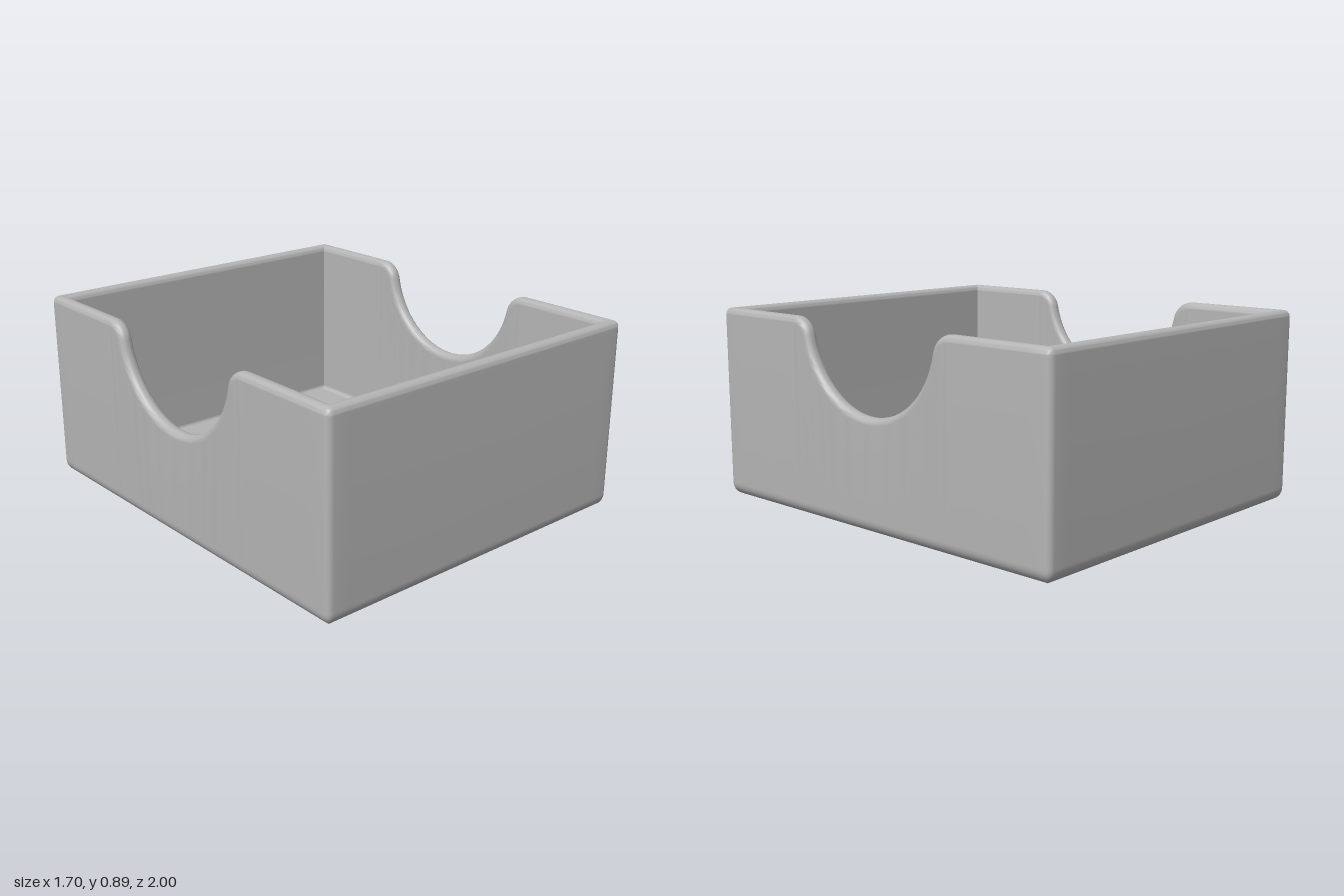
import * as THREE from 'three';
import { toCreasedNormals } from 'three/addons/utils/BufferGeometryUtils.js';

const HX = 0.85, HZ = 1, H = 0.895;      // half width, half depth, height
const WALL = 0.065, FLOOR = 0.07;        // wall and floor thickness
const CORNER = 0.03, RIM = 0.03, BASE = 0.06, FILLET = 0.02;
const NOTCH_R = 0.39, SHOULDER = 0.1;    // side cut-out and its rounded shoulders

// Half of the cut-out edge, from the flat rim (z > 0) down to its lowest point
function notchHalf() {
  const zc = Math.sqrt((NOTCH_R + SHOULDER) ** 2 - SHOULDER ** 2);
  const tilt = Math.atan2(SHOULDER, zc);
  const pts = [{ z: 0.9, y: H, nz: 0, ny: 1 }, { z: zc + 0.03, y: H, nz: 0, ny: 1 }];
  for (let i = 0; i <= 10; i++) {
    const a = Math.PI / 2 + (Math.PI / 2 - tilt) * i / 10;
    const nz = Math.cos(a), ny = Math.sin(a);
    pts.push({ z: zc + SHOULDER * nz, y: H - SHOULDER + SHOULDER * ny, nz, ny });
  }
  for (let i = 1; i <= 18; i++) {
    const a = -tilt - (Math.PI / 2 - tilt) * i / 18;
    const nz = -Math.cos(a), ny = -Math.sin(a);
    pts.push({ z: -NOTCH_R * nz, y: H - NOTCH_R * ny, nz, ny });
  }
  return pts;
}

// Stations run counter-clockwise round the walls; each maps a profile point to space
function makeStations() {
  const half = notchHalf();
  const mirrored = half.slice(0, -1).reverse().map(p => ({ ...p, z: -p.z, nz: -p.nz }));
  const notch = [...half, ...mirrored];
  const stations = [];
  for (let k = 0; k < 4; k++) {
    const sx = k < 2 ? 1 : -1, sz = k === 0 || k === 3 ? 1 : -1;
    for (let i = 0; i <= 6; i++) {
      const a = (k - 1 + i / 6) * Math.PI / 2;
      stations.push(({ inset, y, d }) => {
        const m = Math.max(CORNER, inset), r = m > CORNER ? 0 : CORNER - inset;
        return [sx * (HX - m) + Math.cos(a) * r, d === undefined ? y : H - d,
          sz * (HZ - m) - Math.sin(a) * r];
      });
    }
    if (k % 2 === 0) {
      for (const p of notch) {
        stations.push(({ inset, y, d }) => d === undefined
          ? [sx * (HX - inset), y, sx * p.z]
          : [sx * (HX - inset), p.y - p.ny * d, sx * (p.z - p.nz * d)]);
      }
    } else {
      for (const x of [0.75, -0.75]) {
        stations.push(({ inset, y, d }) =>
          [sx * x, d === undefined ? y : H - d, sz * (HZ - inset)]);
      }
    }
  }
  return stations;
}

// Wall profile: base rounding, outer face, round rim, inner face, floor fillet
function makeProfile() {
  const rows = [], arc = (n, fn) => {
    for (let i = 0; i <= n; i++) {
      const a = i / n * Math.PI / 2;
      rows.push(fn(Math.sin(a), Math.cos(a)));
    }
  };
  rows.push({ inset: BASE + 0.005, y: 0 });
  arc(8, (s, c) => ({ inset: BASE * (1 - s), y: BASE * (1 - c) }));
  rows.push({ inset: 0, y: BASE + 0.005 }, { inset: 0, d: RIM + 0.005 });
  arc(6, (s, c) => ({ inset: RIM * (1 - c), d: RIM * (1 - s) }));
  arc(6, (s, c) => ({ inset: WALL - RIM * (1 - s), d: RIM * (1 - c) }));
  rows.push({ inset: WALL, d: RIM + 0.005 }, { inset: WALL, y: FLOOR + FILLET + 0.005 });
  arc(4, (s, c) => ({ inset: WALL + FILLET * (1 - c), y: FLOOR + FILLET * (1 - s) }));
  rows.push({ inset: WALL + FILLET + 0.005, y: FLOOR });
  return rows;
}

function trayGeometry() {
  const stations = makeStations();
  const rings = makeProfile().map(p => stations.map(s => s(p)));
  const pos = [];
  const same = (a, b) => Math.hypot(a[0] - b[0], a[1] - b[1], a[2] - b[2]) < 1e-6;
  const tri = (a, b, c) => {
    if (!same(a, b) && !same(b, c) && !same(a, c)) pos.push(...a, ...b, ...c);
  };
  const n = stations.length, last = rings.length - 1;
  for (let i = 0; i < n; i++) {
    const j = (i + 1) % n;
    for (let r = 0; r < last; r++) {
      const a = rings[r][i], b = rings[r][j], c = rings[r + 1][j], d = rings[r + 1][i];
      tri(a, b, c);
      tri(a, c, d);
    }
    tri([0, 0, 0], rings[0][j], rings[0][i]);                 // underside
    tri([0, FLOOR, 0], rings[last][i], rings[last][j]);       // inner floor
  }
  const geo = new THREE.BufferGeometry();
  geo.setAttribute('position', new THREE.Float32BufferAttribute(pos, 3));
  return toCreasedNormals(geo, 0.6);
}

export function createModel() {
  const group = new THREE.Group();
  group.name = 'openTray';
  const grey = new THREE.MeshStandardMaterial({ color: 0xb4b4b4 });
  grey.name = 'grey';
  const tray = new THREE.Mesh(trayGeometry(), grey);
  tray.name = 'trayBody';
  group.add(tray);
  return group;
}
